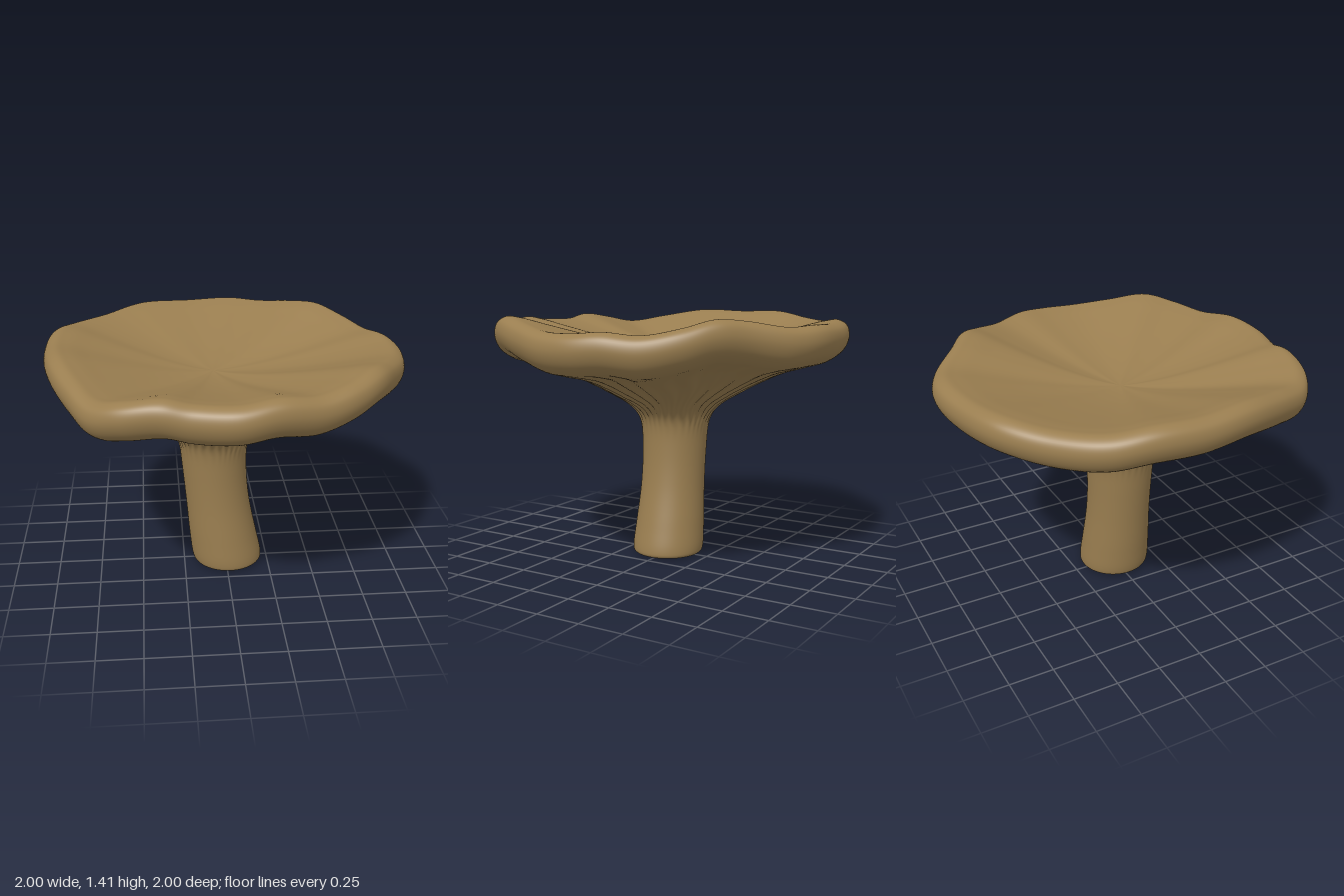
import * as THREE from 'three';

const COLS = 240, STEPS = 6;

// Rim outline: [angle in degrees from +x towards +z, radius, height]
const RIM = [
  [0, 1.0, 1.335], [12, 0.99, 1.335], [26, 0.97, 1.365], [40, 0.99, 1.40], [52, 0.99, 1.37], [64, 0.98, 1.345],
  [78, 0.985, 1.37], [90, 1.0, 1.35], [104, 0.98, 1.345], [113, 1.01, 1.37], [124, 1.06, 1.345], [134, 1.065, 1.315],
  [147, 1.02, 1.35], [163, 1.0, 1.39], [180, 1.0, 1.385], [196, 1.02, 1.39], [209, 1.03, 1.36], [225, 1.01, 1.35],
  [242, 1.02, 1.37], [260, 0.995, 1.36], [276, 1.005, 1.365], [288, 0.98, 1.36], [303, 0.92, 1.395], [314, 0.93, 1.405],
  [325, 0.95, 1.365], [338, 0.965, 1.33], [350, 0.985, 1.345],
];

// Profile from the foot, up the stem, under the cap, round the lip and
// into the shallow funnel on top: [radius, height, share of the rim wave]
const PROFILE = [
  [0, 0, 0], [0.1, 0, 0], [0.18, 0.004, 0], [0.2, 0.016, 0], [0.206, 0.045, 0],
  [0.2, 0.18, 0], [0.187, 0.4, 0], [0.187, 0.6, 0], [0.198, 0.76, 0], // stem ends at 8
  [0.218, 0.82, 0.02], [0.275, 0.885, 0.1], [0.4, 0.96, 0.25], [0.55, 1.037, 0.45],
  [0.7, 1.095, 0.7], [0.83, 1.128, 0.9], [0.92, 1.155, 1], // gills end at 15
  [0.975, 1.2, 1], [1.0, 1.27, 1], [0.985, 1.33, 1], [0.94, 1.358, 1], [0.87, 1.352, 0.95],
  [0.72, 1.318, 0.75], [0.5, 1.268, 0.5], [0.28, 1.228, 0.25], [0.1, 1.208, 0.08], [0, 1.205, 0],
];

function buildSurface() {
  const rim = new THREE.CatmullRomCurve3(RIM.map(([deg, r, h]) => {
    const a = THREE.MathUtils.degToRad(deg);
    return new THREE.Vector3(Math.cos(a) * r, h, Math.sin(a) * r);
  }), true);
  const profile = new THREE.CatmullRomCurve3(PROFILE.map((p) => new THREE.Vector3(...p)));
  const rimPoints = Array.from({ length: COLS }, (_, j) => rim.getPoint(j / COLS));
  const rows = (PROFILE.length - 1) * STEPS;
  const positions = [];

  for (let i = 0; i <= rows; i++) {
    const { x: radius, y, z: wave } = profile.getPoint(i / rows);
    const s = i / STEPS;
    // The stem leans, and the cap comes back to the middle
    const lean = (0.015 - 0.085 * Math.sin(Math.min(Math.max(y, 0) / 0.8, 1) * Math.PI / 2)) * (1 - wave);
    // Fine gills fade in on the stem top and out before the lip
    const gill = s > 7.6 && s < 14.8 ? Math.sin((s - 7.6) / 7.2 * Math.PI) : 0;
    for (const p of rimPoints) {
      const a = Math.atan2(p.z, p.x);
      const r = Math.max(radius, 0) * (1 + wave * (Math.hypot(p.x, p.z) - 1));
      const ridge = gill * 0.007 * Math.sin(a * 34 + 1.3 * Math.sin(a * 5) + 0.8 * Math.sin(s * 2 + a * 3));
      const rr = r + ridge * 0.5;
      positions.push(
        lean + Math.cos(a) * rr,
        Math.max(0, y + wave * (p.y - 1.358) - ridge),
        0.007 * (1 - wave) + Math.sin(a) * rr,
      );
    }
  }

  const index = [];
  for (let i = 0; i < rows; i++) {
    for (let j = 0; j < COLS; j++) {
      const k = (j + 1) % COLS;
      const a = i * COLS + j, b = i * COLS + k;
      index.push(a, a + COLS, b, b, a + COLS, b + COLS);
    }
  }
  const geometry = new THREE.BufferGeometry();
  geometry.setAttribute('position', new THREE.Float32BufferAttribute(positions, 3));
  geometry.setIndex(index);
  geometry.computeVertexNormals();
  // One clean normal for each pole of the surface
  const normal = geometry.attributes.normal;
  for (let j = 0; j < COLS; j++) {
    normal.setXYZ(j, 0, -1, 0);
    normal.setXYZ(rows * COLS + j, 0, 1, 0);
  }
  return geometry;
}

export function createModel() {
  const group = new THREE.Group();
  group.name = 'mushroom';
  const brown = new THREE.MeshStandardMaterial({ color: 0x9a7e50 });
  brown.name = 'warm brown';

  // Cut the continuous skin into parts that share their smooth normals
  const skin = buildSurface();
  const all = Array.from(skin.index.array);
  const parts = [['stem', 0, 8], ['gills', 8, 15], ['cap', 15, PROFILE.length - 1]];
  for (const [name, from, to] of parts) {
    const geometry = new THREE.BufferGeometry();
    geometry.setAttribute('position', skin.attributes.position);
    geometry.setAttribute('normal', skin.attributes.normal);
    geometry.setIndex(all.slice(from * STEPS * COLS * 6, to * STEPS * COLS * 6));
    const mesh = new THREE.Mesh(geometry, brown);
    mesh.name = name;
    group.add(mesh);
  }
  return group;
}
